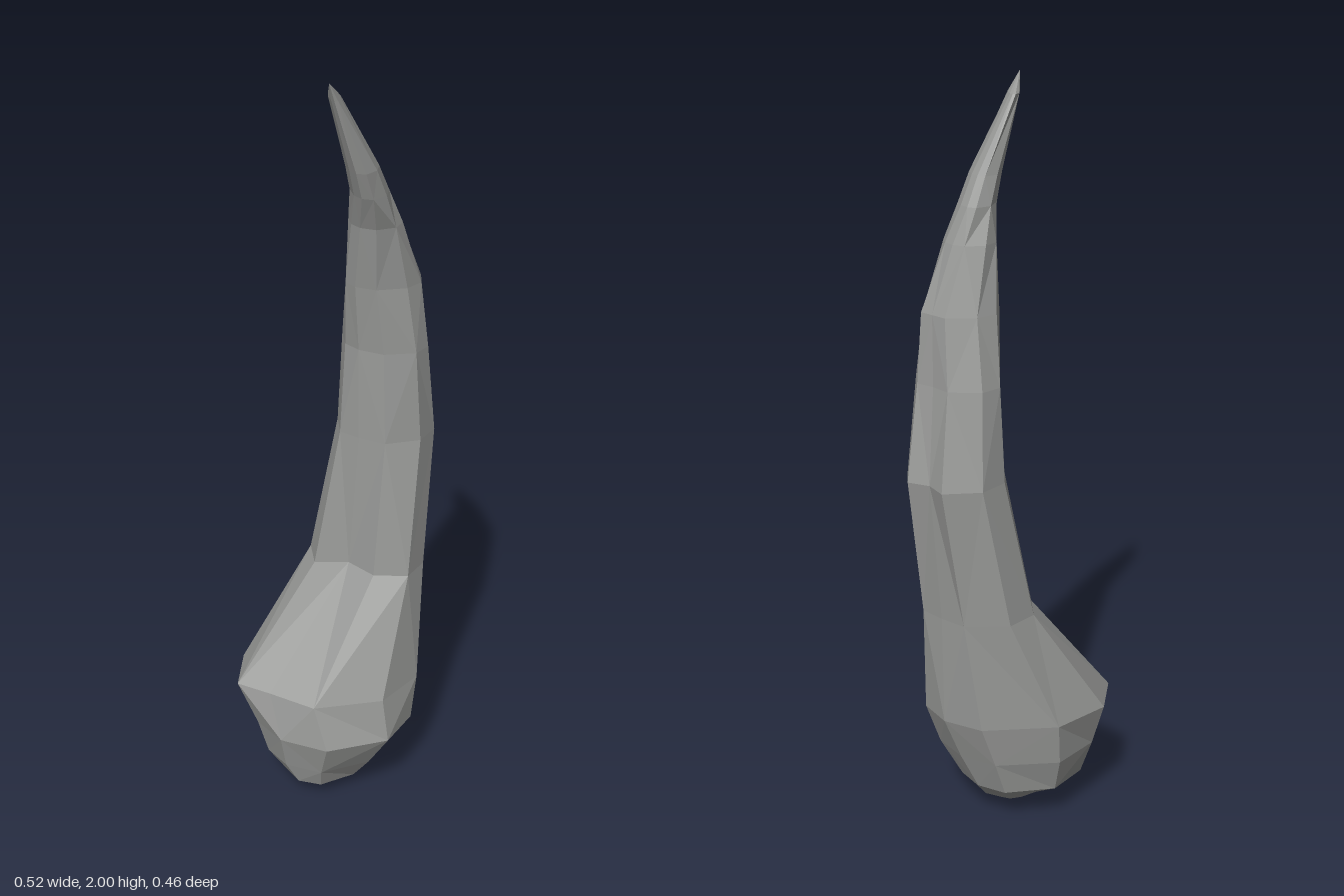
import * as THREE from 'three';

// Ring corners in degrees; those at 0 and 180 carry the two grooves
const ANGLES = [0, 27, 62, 98, 145, 180, 208, 245, 285, 332];
const SIDES = ANGLES.length;

// Cross-sections from base to tip: height, left x, right x, back z, front z,
// outer (+x) groove depth, inner (-x) groove depth, diagonal lean in radians
const SECTIONS = [
  [0.005, -0.09, 0.0, -0.03, 0.04, 0, 0, 0],
  [0.04, -0.21, 0.06, -0.08, 0.12, 0, 0, 0],
  [0.10, -0.235, 0.115, -0.17, 0.165, 0, 0, 0],
  [0.20, -0.26, 0.155, -0.20, 0.228, 0, 0, 0.05],
  [0.32, -0.26, 0.20, -0.228, 0.21, 0, 0.045, 0.2],
  [0.63, -0.03, 0.21, -0.13, 0.175, 0.01, 0.065, 0.08],
  [1.01, 0.04, 0.26, -0.09, 0.16, 0.03, 0.015, 0.05],
  [1.26, 0.045, 0.21, -0.07, 0.15, 0.015, 0, 0.15],
  [1.44, 0.025, 0.19, -0.04, 0.137, 0.01, 0, 0.25],
  [1.61, 0.003, 0.135, -0.015, 0.125, 0, 0, -0.05],
  [1.70, -0.03, 0.10, 0.0, 0.12, 0, 0, -0.45],
  [1.77, -0.055, 0.06, 0.01, 0.115, 0, 0, -0.5],
  [1.955, -0.115, -0.05, 0.015, 0.08, 0, 0, -0.9],
];

// A grooved, leaning oval, sized so its corners reach the section's bounds
function ring([y, left, right, back, front, outer, inner, lean]) {
  const halfWidth = (right - left) / 2;
  const points = ANGLES.map((degrees, i) => {
    const a = THREE.MathUtils.degToRad(degrees);
    let x = Math.cos(a);
    if (i === 0) x -= outer / halfWidth;
    if (i === 5) x += inner / halfWidth;
    if (i === 4) x += inner / halfWidth / 2; // the inner groove slopes out to the front
    return new THREE.Vector3(x, y, Math.sin(a + lean));
  });
  const { min, max } = new THREE.Box3().setFromPoints(points);
  for (const p of points) {
    p.x = THREE.MathUtils.mapLinear(p.x, min.x, max.x, left, right);
    p.z = THREE.MathUtils.mapLinear(p.z, min.z, max.z, back, front);
  }
  return points;
}

// Skin the rings and close both ends with fans
function buildHorn() {
  const rings = SECTIONS.map(ring);
  const base = new THREE.Vector3(-0.04, 0, 0.01);
  const tip = new THREE.Vector3(-0.13, 2, 0.07);
  const vertices = [];
  const tri = (...corners) => corners.forEach((p) => vertices.push(p.x, p.y, p.z));
  for (let i = 0; i < SIDES; i++) {
    const j = (i + 1) % SIDES;
    tri(base, rings[0][i], rings[0][j]);
    for (let k = 0; k < rings.length - 1; k++) {
      const a = rings[k][i], b = rings[k][j];
      const c = rings[k + 1][j], d = rings[k + 1][i];
      // alternate the diagonals for an irregular, chiselled surface
      if ((i + k) % 2) {
        tri(a, d, b);
        tri(b, d, c);
      } else {
        tri(a, d, c);
        tri(a, c, b);
      }
    }
    const top = rings[rings.length - 1];
    tri(top[i], tip, top[j]);
  }
  const geometry = new THREE.BufferGeometry();
  geometry.setAttribute('position', new THREE.Float32BufferAttribute(vertices, 3));
  geometry.computeVertexNormals();
  return geometry;
}

export function createModel() {
  const group = new THREE.Group();
  group.name = 'curvedHorn';
  const grey = new THREE.MeshStandardMaterial({ color: 0x999a98, flatShading: true });
  grey.name = 'horn grey';
  const horn = new THREE.Mesh(buildHorn(), grey);
  horn.name = 'horn';
  group.add(horn);
  return group;
}
